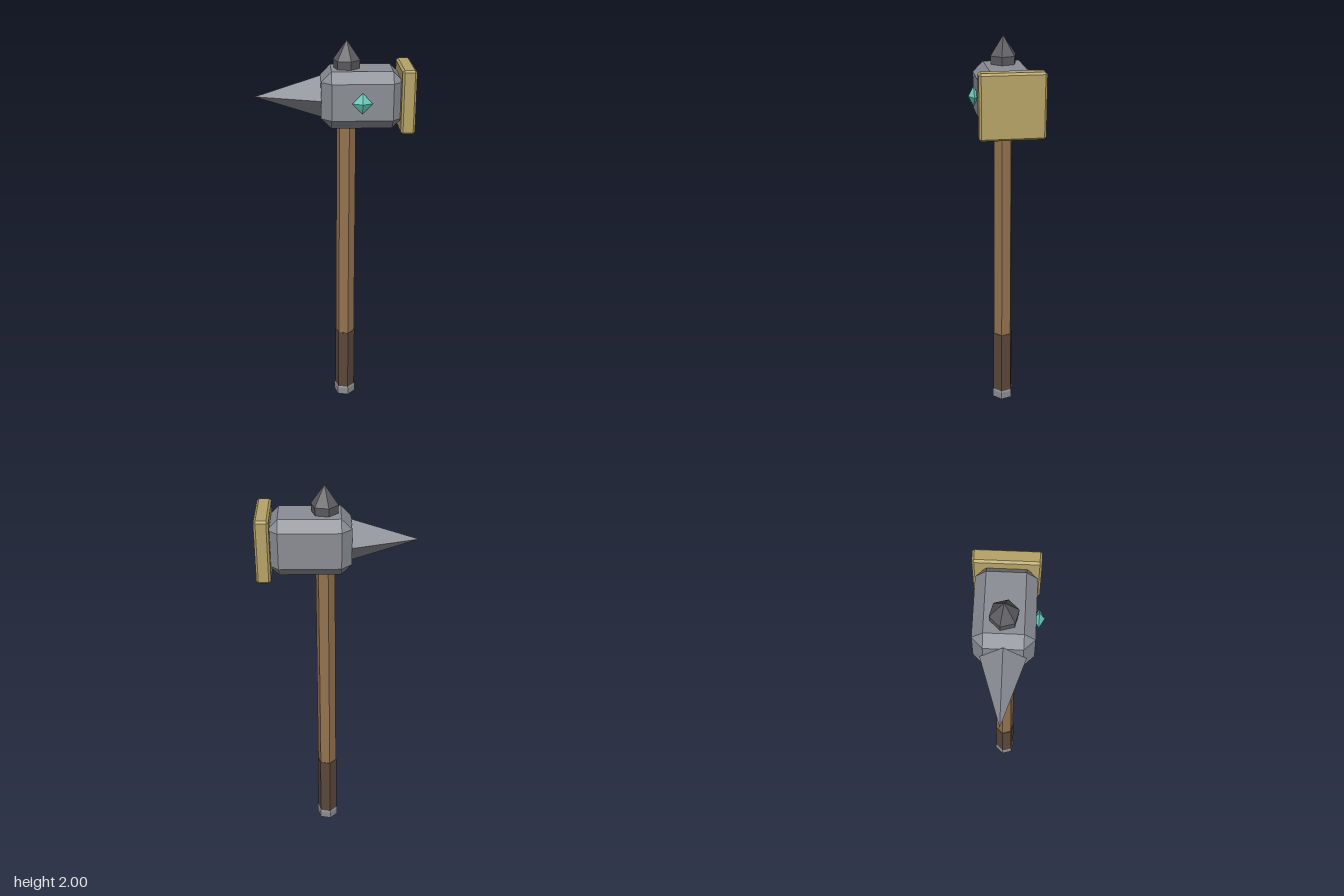
import * as THREE from 'three';
import { ConvexGeometry } from 'three/addons/geometries/ConvexGeometry.js';

const mat = (name, color) => {
  const m = new THREE.MeshStandardMaterial({ color });
  m.name = name;
  return m;
};

// Faceted copy of a geometry: every face gets its own normal.
const facet = (geo) => {
  const g = geo.index ? geo.toNonIndexed() : geo;
  g.computeVertexNormals();
  return g;
};

// Box with every edge cut off at 45 degrees.
function chamferBox(w, h, d, c) {
  const half = [w / 2, h / 2, d / 2];
  const points = [];
  for (const sx of [-1, 1]) for (const sy of [-1, 1]) for (const sz of [-1, 1]) {
    const s = [sx, sy, sz];
    for (let full = 0; full < 3; full++) {
      points.push(new THREE.Vector3(...half.map((v, i) => s[i] * (i === full ? v : v - c))));
    }
  }
  return new ConvexGeometry(points);
}

// Six-sided turned part from [radius, y] pairs, bottom to top.
function hexTurned(profile) {
  const points = profile.map(([r, y]) => new THREE.Vector2(r, y));
  return facet(new THREE.LatheGeometry(points, 6, THREE.MathUtils.degToRad(16.4)));
}

export function createModel() {
  const steel = mat('steel', 0x8a8d94);
  const darkSteel = mat('dark steel', 0x5c5c61);
  const brass = mat('brass', 0xb5a367);
  const wood = mat('wood', 0x93724f);
  const leather = mat('leather', 0x5a473a);
  const turquoise = mat('turquoise', 0x66cdbc);

  const group = new THREE.Group();
  group.name = 'warHammer';
  const add = (name, geo, material, x, y, z) => {
    const mesh = new THREE.Mesh(geo, material);
    mesh.name = name;
    mesh.position.set(x, y, z);
    group.add(mesh);
    return mesh;
  };

  const shaftX = 0.061, axisZ = -0.011, headY = 1.732;

  // Handle, turned parts stacked along the shaft axis
  add('shaft', hexTurned([[0.0505, 0.09], [0.0475, 1.62]]), wood, shaftX, 0, axisZ);
  add('grip', hexTurned([[0, 0.085], [0.053, 0.085], [0.053, 0.435], [0, 0.435]]), leather, shaftX, 0, axisZ);
  add('pommel', hexTurned([[0, 0], [0.057, 0.04], [0.057, 0.08], [0.048, 0.097], [0, 0.097]]), steel, shaftX, 0, axisZ);
  add('finial', hexTurned([[0, 1.85], [0.062, 1.85], [0.066, 1.907], [0, 2]]), darkSteel, shaftX, 0, axisZ);

  // Head, striking plate and rear spike
  add('head', chamferBox(0.388, 0.272, 0.272, 0.049), steel, 0.131, headY, axisZ);
  add('strikingPlate', chamferBox(0.068, 0.304, 0.304, 0.01), brass, 0.346, headY, axisZ);
  const spike = facet(new THREE.ConeGeometry(0.102, 0.318, 4, 1));
  spike.rotateZ(Math.PI / 2);
  add('spike', spike, steel, -0.221, headY, axisZ);

  // Gem set into the front of the head
  const gem = new THREE.OctahedronGeometry(1);
  gem.scale(0.048, 0.05, 0.025);
  add('gem', facet(gem), turquoise, 0.129, headY, 0.138);

  return group;
}
